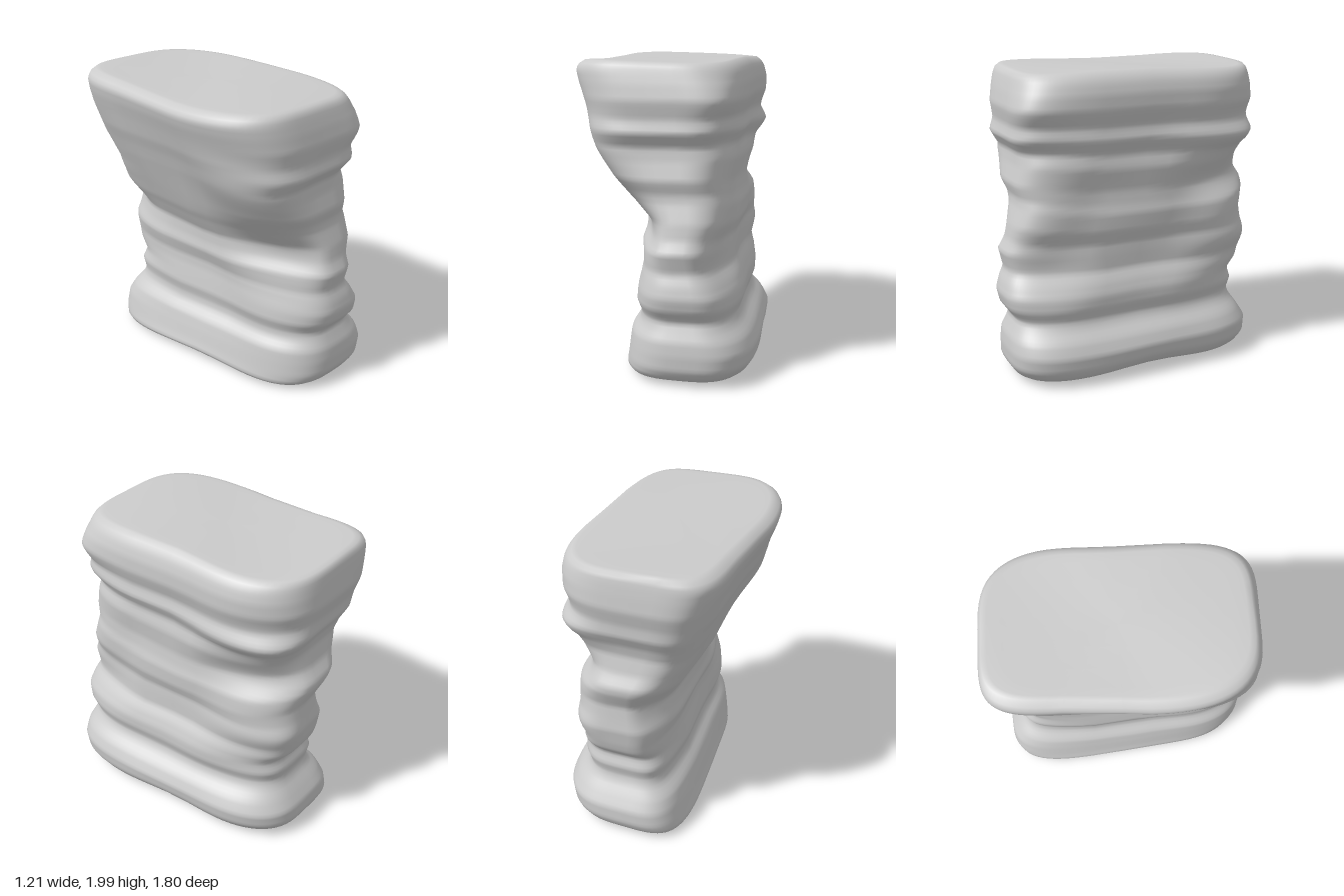
import * as THREE from 'three';

// Height, left x, right x, front z, back z of the folded stone column
const profile = [
  [0.02, -0.27, 0.5, 0.76, -0.77],
  [0.05, -0.31, 0.56, 0.84, -0.83],
  [0.12, -0.29, 0.6, 0.885, -0.865],
  [0.22, -0.27, 0.61, 0.89, -0.86],
  [0.3, -0.25, 0.57, 0.88, -0.81],
  [0.37, -0.19, 0.5, 0.85, -0.76],
  [0.42, -0.18, 0.475, 0.83, -0.74],
  [0.5, -0.2, 0.5, 0.89, -0.76],
  [0.58, -0.19, 0.5, 0.91, -0.73],
  [0.66, -0.18, 0.47, 0.89, -0.8],
  [0.73, -0.18, 0.43, 0.86, -0.82],
  [0.85, -0.22, 0.425, 0.89, -0.84],
  [0.93, -0.21, 0.42, 0.85, -0.83],
  [1.03, -0.21, 0.45, 0.83, -0.82],
  [1.15, -0.27, 0.455, 0.79, -0.87],
  [1.2, -0.3, 0.44, 0.785, -0.87],
  [1.28, -0.34, 0.43, 0.81, -0.82],
  [1.4, -0.4, 0.45, 0.78, -0.79],
  [1.48, -0.44, 0.43, 0.77, -0.81],
  [1.57, -0.48, 0.48, 0.83, -0.86],
  [1.65, -0.52, 0.46, 0.81, -0.86],
  [1.76, -0.56, 0.5, 0.83, -0.89],
  [1.86, -0.6, 0.5, 0.81, -0.88],
  [1.93, -0.62, 0.48, 0.79, -0.87],
  [1.97, -0.595, 0.45, 0.775, -0.86],
  [1.99, -0.55, 0.42, 0.75, -0.84],
];

// Lumps (+) and worn hollows (-) on the corners: x sign, z sign, height, spread, amount
const cornerShapes = [
  [-1, 1, 0.95, 0.18, -0.085],
  [-1, 1, 1.47, 0.17, 0.05],
  [1, 1, 1.75, 0.12, 0.025],
  [1, 1, 0.75, 0.2, -0.03],
  [1, -1, 1.52, 0.1, 0.045],
  [1, -1, 1.22, 0.13, -0.055],
  [1, -1, 0.83, 0.12, 0.04],
  [-1, -1, 1.02, 0.2, -0.05],
];

// Linear look-up of the profile at a given height
function sample(y) {
  let i = 0;
  while (i < profile.length - 2 && profile[i + 1][0] < y) i++;
  const a = profile[i], b = profile[i + 1];
  const t = THREE.MathUtils.clamp((y - a[0]) / (b[0] - a[0]), 0, 1);
  return a.map((v, k) => v + (b[k] - v) * t);
}

const signedPow = (v, p) => Math.sign(v) * Math.abs(v) ** p;
const bump = (v, centre, width) => Math.exp(-(((v - centre) / width) ** 2));

// Corner squareness for each quadrant of the section
function squareness(c, s, y) {
  if (c < 0) return s > 0 ? 3 : 4.4 + 0.6 * y;
  return s > 0 ? 3.2 + y : 3;
}

// One point of the rounded-rectangle section; scale shrinks it for the caps
function sectionPoint(y, angle, scale) {
  const c = Math.cos(angle), s = Math.sin(angle);
  const body = Math.sin(Math.PI * THREE.MathUtils.clamp(y / 2, 0, 1));
  // Folds on the long sides dip in the middle and tilt down towards the back
  const sag = body * c * c * (0.06 * bump(y, 1.1, 0.3) - 0.07 * s * bump(y, 1.4, 0.35));
  const [, xl, xr, zf, zb] = sample(y + sag);
  const power = 2 / squareness(c, s, y);
  const u = signedPow(c, power), w = signedPow(s, power);
  const cx = (xl + xr) / 2, cz = (zf + zb) / 2;
  let z = cz + w * (zf - zb) / 2;
  // Slight hollow along each long side, and a twist from base to top
  const hollow = 0.025 * (1 - 0.7 * body) * bump(z, c < 0 ? 0.3 - 0.3 * y : -0.1, 0.35);
  const twist = (0.07 - 0.055 * y) * (z - 0.3);
  const lump = 0.008 * body * Math.sin(z * 9 + y * 7);
  let x = cx + u * ((xr - xl) / 2 - hollow + lump) + twist;
  for (const [sx, sz, height, spread, amount] of cornerShapes) {
    const push = amount * 2 * Math.max(0, c * sx) * Math.max(0, s * sz) * bump(y, height, spread);
    x += sx * push;
    z += sz * push;
  }
  const px = cx + (x - cx) * scale, pz = cz + (z - cz) * scale;
  // Arched underside and gently uneven top
  const dip = y < 1 ? 0.035 * bump(pz, 0, 0.4) * Math.max(0, 1 - y * 4)
    : 0.01 * Math.sin(pz * 4 + px * 3) * Math.max(0, (y - 1.8) * 5);
  return [px, y + dip, pz];
}

function columnGeometry() {
  const sides = 72, levels = 90, rings = [];
  // Bottom cap, wall, top cap
  for (const k of [0, 0.3, 0.6, 0.85, 0.96]) rings.push([0.004 + 0.012 * k ** 8, k]);
  for (let i = 0; i <= levels; i++) rings.push([0.02 + 1.965 * i / levels, 1]);
  for (const k of [0.96, 0.85, 0.6, 0.3, 0]) rings.push([1.988, k]);

  const positions = [], index = [];
  rings.forEach(([y, k], r) => {
    for (let j = 0; j < sides; j++) {
      positions.push(...sectionPoint(y, j / sides * Math.PI * 2, k));
      if (r === 0) continue;
      const n = (j + 1) % sides, lo = (r - 1) * sides, hi = r * sides;
      index.push(lo + j, hi + j, lo + n, lo + n, hi + j, hi + n);
    }
  });
  const geometry = new THREE.BufferGeometry();
  geometry.setAttribute('position', new THREE.Float32BufferAttribute(positions, 3));
  geometry.setIndex(index);
  geometry.computeVertexNormals();
  return geometry;
}

export function createModel() {
  const group = new THREE.Group();
  group.name = 'rockPillar';
  const column = new THREE.Mesh(columnGeometry(), new THREE.MeshStandardMaterial({ color: 0xcccccc }));
  column.name = 'stoneColumn';
  group.add(column);
  return group;
}
